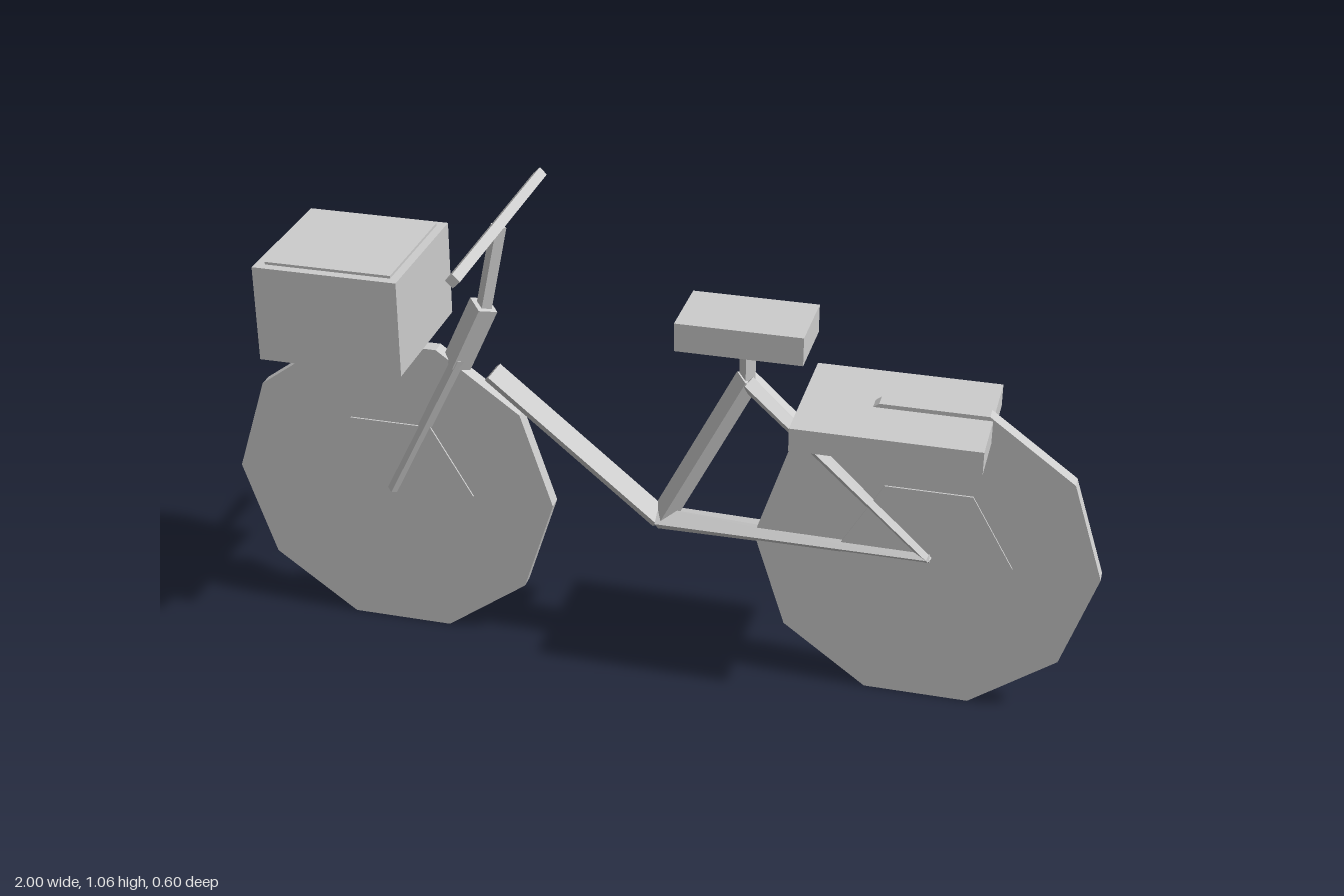
import * as THREE from 'three';

export function createModel() {
  const bike = new THREE.Group();
  const grey = new THREE.MeshStandardMaterial({ color: 0xcccccc, flatShading: true });
  grey.name = 'lightGrey';

  const add = (name, geometry, parent = bike) => {
    const mesh = new THREE.Mesh(geometry, grey);
    mesh.name = name;
    parent.add(mesh);
    return mesh;
  };

  // Four-sided bar with its ridges facing sideways, between two points
  const bar = (name, from, to, r0, r1 = r0) => {
    const a = new THREE.Vector3(...from);
    const b = new THREE.Vector3(...to);
    const mesh = add(name, new THREE.CylinderGeometry(r1, r0, a.distanceTo(b), 4));
    mesh.position.copy(a).lerp(b, 0.5);
    mesh.quaternion.setFromUnitVectors(new THREE.Vector3(0, 1, 0), b.sub(a).normalize());
  };

  // Box given by its limits in x and y and its full depth
  const block = (name, x0, x1, y0, y1, depth) => {
    const mesh = add(name, new THREE.BoxGeometry(x1 - x0, y1 - y0, depth));
    mesh.position.set((x0 + x1) / 2, (y0 + y1) / 2, 0);
  };

  // Solid disc with a corner on each side along x
  const disc = (name, radius, depth, sides, parent) => {
    const geometry = new THREE.CylinderGeometry(radius, radius, depth, sides);
    geometry.rotateY(Math.PI / 2).rotateX(Math.PI / 2);
    add(name, geometry, parent);
  };

  // Wheels: ten-sided discs with a slightly raised six-sided centre
  for (const [name, x] of [['frontWheel', -0.618], ['rearWheel', 0.618]]) {
    const wheel = new THREE.Group();
    wheel.name = name;
    wheel.position.set(x, 0.365, 0);
    disc('tyre', 0.383, 0.034, 10, wheel);
    disc('wheelCentre', 0.193, 0.042, 6, wheel);
    bike.add(wheel);
  }

  // Frame
  bar('downTube', [0.015, 0.362, 0], [-0.374, 0.683, 0], 0.03);
  bar('seatTube', [0.018, 0.365, 0], [0.21, 0.745, 0], 0.028);
  bar('seatPost', [0.208, 0.735, 0], [0.208, 0.84, 0], 0.018);
  for (const s of [1, -1]) {
    bar('chainStay', [0.01, 0.366, 0.006 * s], [0.63, 0.364, 0.021 * s], 0.028, 0.011);
    bar('seatStay', [0.21, 0.74, 0.012 * s], [0.628, 0.36, 0.022 * s], 0.02, 0.01);
    bar('forkBlade', [-0.445, 0.715, 0.014 * s], [-0.622, 0.355, 0.02 * s], 0.018, 0.013);
  }

  // Steering
  bar('headTube', [-0.457, 0.695, 0], [-0.388, 0.847, 0], 0.034);
  bar('stem', [-0.388, 0.84, 0], [-0.347, 1.04, 0], 0.018);
  bar('handlebar', [-0.347, 1.042, -0.3], [-0.347, 1.042, 0.3], 0.016);

  // Saddle, rear rack and front basket with its lid
  block('saddle', 0.065, 0.345, 0.832, 0.897, 0.17);
  block('rearRack', 0.333, 0.743, 0.667, 0.72, 0.316);
  block('basket', -0.855, -0.525, 0.735, 0.957, 0.336);
  block('basketLid', -0.833, -0.545, 0.95, 0.963, 0.294);

  return bike;
}
